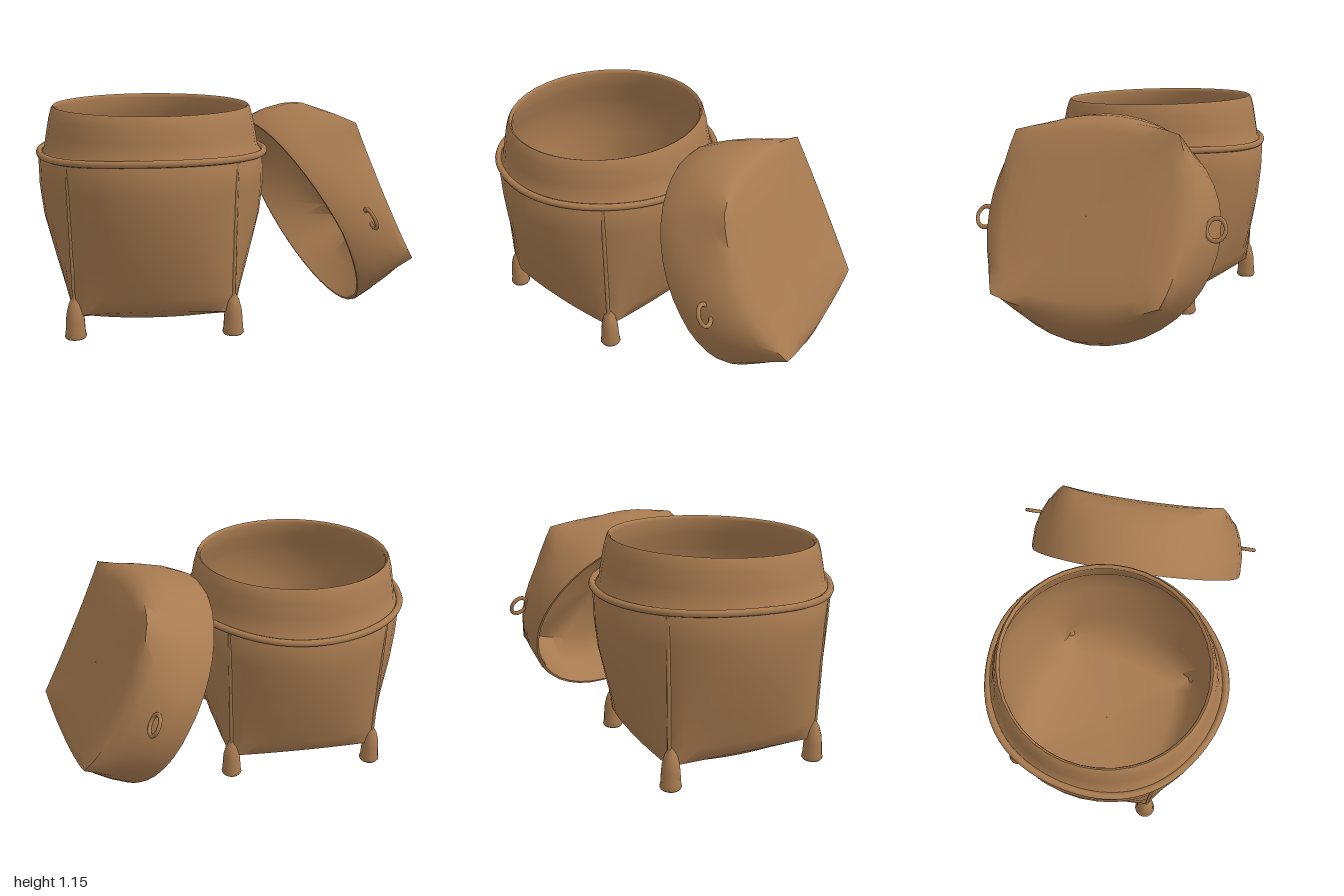
import * as THREE from 'three';
import { toCreasedNormals } from 'three/addons/utils/BufferGeometryUtils.js';

const wicker = new THREE.MeshStandardMaterial({ color: 0xa87b50, side: THREE.DoubleSide });
wicker.name = 'wicker brown';

const COS45 = Math.SQRT1_2;
const round = (r, y) => [r, r * COS45, y, y];

// Four-sided bowl. Each row: side-middle distance, corner distance, height at middle, height at corner.
// A row whose middle is corner * sqrt(2) is an exact circle.
function shell(rows, perSide = 10) {
  const pos = [], index = [], cols = perSide * 4;
  for (const [m, c, hm, hc = hm] of rows) {
    for (let j = 0; j <= cols; j++) {
      const side = Math.floor(j / perSide) % 4;
      const a = ((j % perSide) / perSide - 0.5) * Math.PI / 2;
      const w = (Math.cos(a) - COS45) / (1 - COS45);
      const across = c * Math.sin(a) / COS45, out = c + (m - c) * w;
      const s = Math.sin(side * Math.PI / 2), k = Math.cos(side * Math.PI / 2);
      pos.push(across * k + out * s, hc + (hm - hc) * w, out * k - across * s);
    }
  }
  for (let i = 0; i < rows.length - 1; i++) {
    for (let j = 0; j < cols; j++) {
      const a = i * (cols + 1) + j, b = a + cols + 1;
      index.push(a, b, a + 1, b, b + 1, a + 1);
    }
  }
  const g = new THREE.BufferGeometry();
  g.setAttribute('position', new THREE.Float32BufferAttribute(pos, 3));
  g.setIndex(index);
  return g;
}

function add(parent, name, geometry, x = 0, y = 0, z = 0) {
  const mesh = new THREE.Mesh(geometry, wicker);
  mesh.name = name;
  mesh.position.set(x, y, z);
  parent.add(mesh);
  return mesh;
}

function makeBasket() {
  const basket = new THREE.Group();
  basket.name = 'basket';
  basket.position.set(-0.392, 0, 0.108);

  // Body: from the inner floor up over the rim and down to the domed underside
  const body = shell([
    [0.001, 0.001, 0.075], [0.35, 0.3, 0.11], [0.43, 0.375, 0.16], [0.5, 0.385, 0.37], [0.56, 0.395, 0.72],
    round(0.565, 0.88), round(0.54, 0.95), round(0.525, 1.03), round(0.495, 1.12), round(0.5, 1.136),
    round(0.508, 1.14), round(0.518, 1.125), round(0.531, 1.08), round(0.546, 1.0), round(0.558, 0.93),
    round(0.575, 0.905), round(0.588, 0.88), [0.587, 0.41, 0.74], [0.568, 0.406, 0.58],
    [0.52, 0.402, 0.39], [0.468, 0.4, 0.22], [0.44, 0.395, 0.15, 0.125], [0.36, 0.31, 0.095],
    [0.2, 0.17, 0.057], [0.001, 0.001, 0.045],
  ]);
  const p = body.attributes.position;
  // Slightly deeper than wide, with the rim rising toward the back
  for (let i = 0; i < p.count; i++) {
    const lift = Math.max(0, (p.getY(i) - 0.92) / 0.22);
    p.setXYZ(i, p.getX(i), p.getY(i) - 0.03 * p.getZ(i) * lift, p.getZ(i) * 1.025);
  }
  add(basket, 'basketBody', toCreasedNormals(body, 0.95));

  // Slightly uneven cane hoop under the collar
  const hoop = [];
  for (let i = 0; i < 32; i++) {
    const a = i / 32 * Math.PI * 2, r = 0.586 + 0.006 * Math.sin(a * 5);
    hoop.push(new THREE.Vector3(r * Math.sin(a), 0.905 + 0.007 * Math.sin(a * 3 + 1), 1.02 * r * Math.cos(a)));
  }
  add(basket, 'hoop', new THREE.TubeGeometry(new THREE.CatmullRomCurve3(hoop, true), 72, 0.018, 8, true));

  // Corner feet and the low seams rising above them
  const foot = [[0.001, 0.01], [0.048, 0.01], [0.055, 0.02], [0.05, 0.045], [0.047, 0.1], [0.043, 0.14], [0.03, 0.19], [0.001, 0.24]]
    .map(([r, y]) => new THREE.Vector2(r, y));
  for (const sx of [-1, 1]) {
    for (const sz of [-1, 1]) {
      add(basket, 'foot', new THREE.LatheGeometry(foot, 14), sx * 0.395, 0, sz * 0.398);
      const seam = [[0.394, 0.15], [0.399, 0.37], [0.403, 0.58], [0.41, 0.89]]
        .map(([c, y]) => new THREE.Vector3(sx * c, y, sz * c * 1.025));
      add(basket, 'cornerSeam', new THREE.TubeGeometry(new THREE.CatmullRomCurve3(seam), 12, 0.011, 7));
    }
  }
  return basket;
}

function makeLid() {
  const lid = new THREE.Group();
  lid.name = 'lid';

  // Lid lies like a shallow bowl, opening along its own +y
  const bowl = shell([
    [0.001, 0.001, -0.3], [0.46, 0.385, -0.29, -0.315], [0.54, 0.4, -0.17], round(0.58, -0.02), round(0.585, 0),
    round(0.598, 0), round(0.604, -0.02), [0.6, 0.424, -0.12], [0.575, 0.425, -0.21], [0.54, 0.425, -0.28],
    [0.495, 0.425, -0.32, -0.357], [0.43, 0.37, -0.335, -0.35], [0.28, 0.24, -0.335], [0.001, 0.001, -0.33],
  ]);
  const p = bowl.attributes.position;
  // The wall is a little deeper along its upper side
  for (let i = 0; i < p.count; i++) {
    const rimward = Math.max(0, 1 + p.getY(i) / 0.25);
    p.setXYZ(i, p.getX(i) * 0.975, p.getY(i) + 0.06 * rimward * Math.max(0, p.getX(i)), p.getZ(i) * 0.99);
  }
  add(lid, 'lidBowl', toCreasedNormals(bowl, 1.15));

  // Cord loops on two opposite sides
  for (const [y, z] of [[-0.16, 0.61], [-0.205, -0.612]]) {
    const loop = add(lid, 'cordLoop', new THREE.TorusGeometry(0.046, 0.01, 8, 20), 0, y, z);
    loop.rotation.x = Math.PI / 2;
    loop.scale.x = 1.2;
  }

  // Lean against the basket
  const out = new THREE.Vector3(0.873, 0.441, -0.207).normalize();
  const across = new THREE.Vector3(0.237, -0.012, 0.971);
  across.addScaledVector(out, -across.dot(out)).normalize();
  const down = out.clone().negate();
  const up = new THREE.Vector3().crossVectors(down, across);
  lid.quaternion.setFromRotationMatrix(new THREE.Matrix4().makeBasis(up, down, across));
  lid.position.set(0.41, 0.53, -0.043);
  return lid;
}

export function createModel() {
  const model = new THREE.Group();
  model.name = 'lidded basket';
  model.add(makeBasket(), makeLid());
  return model;
}
